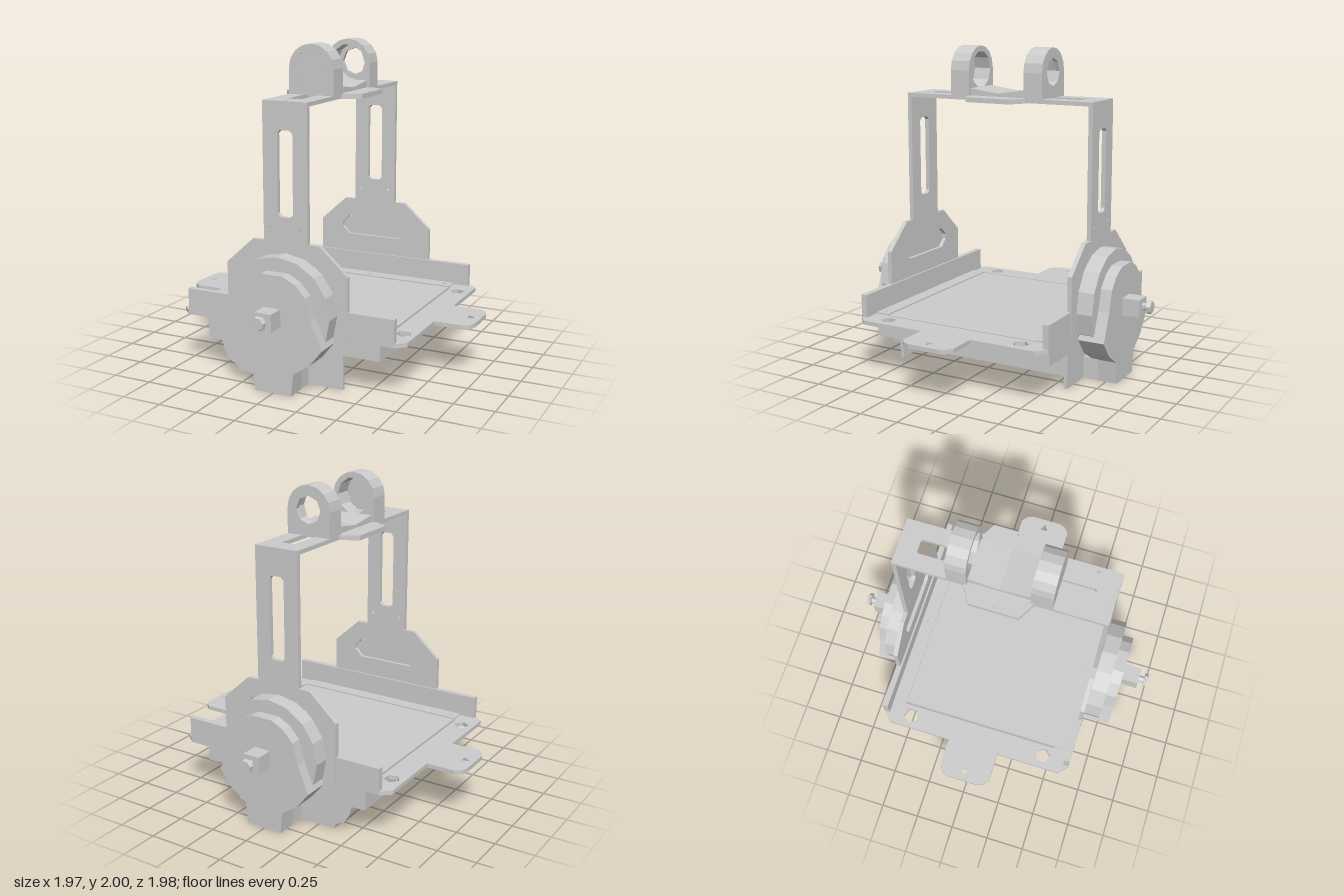
import * as THREE from 'three';

const material = new THREE.MeshStandardMaterial({ color: 0xcccccc, flatShading: true });

function add(parent, name, geometry, x = 0, y = 0, z = 0) {
  const mesh = new THREE.Mesh(geometry, material);
  mesh.name = name;
  mesh.position.set(x, y, z);
  parent.add(mesh);
  return mesh;
}

// Box given by its lower and upper limits
function block(parent, name, x0, x1, y0, y1, z0, z1) {
  return add(parent, name, new THREE.BoxGeometry(x1 - x0, y1 - y0, z1 - z0),
    (x0 + x1) / 2, (y0 + y1) / 2, (z0 + z1) / 2);
}

const toPoints = list => list.map(([x, y]) => new THREE.Vector2(x, y));
// Mirror a half outline (listed from bottom to top at +x) across x = 0
const mirrored = half => [...half, ...half.slice().reverse().map(([x, y]) => [-x, y])];

const ngon = (x, y, r, n = 6, turn = 0) => Array.from({ length: n }, (_, i) => {
  const a = turn + i * 2 * Math.PI / n;
  return [x + r * Math.cos(a), y + r * Math.sin(a)];
});

// Slot with chamfered corners
function slot(x0, x1, y0, y1, c = 0.02) {
  return [[x0 + c, y0], [x1 - c, y0], [x1, y0 + c], [x1, y1 - c],
    [x1 - c, y1], [x0 + c, y1], [x0, y1 - c], [x0, y0 + c]];
}

function extrude(outline, holes, depth) {
  const shape = new THREE.Shape(toPoints(outline));
  shape.holes = holes.map(h => new THREE.Path(toPoints(h)));
  return new THREE.ExtrudeGeometry(shape, { depth, bevelEnabled: false });
}

// Upright slab: outline in x,y between two z values
const slab = (parent, name, outline, holes, z0, z1) =>
  add(parent, name, extrude(outline, holes, z1 - z0), 0, 0, z0);

// Lying plate: outline in x,z between two y values
const plate = (parent, name, outline, holes, y0, y1) =>
  add(parent, name, extrude(outline, holes, y1 - y0).rotateX(Math.PI / 2), 0, y1, 0);

// Bracket leg, rail, drum and shaft of one end, facing +z
function createEnd() {
  const end = new THREE.Group();

  slab(end, 'bracketLeg',
    mirrored([[0.4, 0.33], [0.4, 0.71], [0.22, 0.872], [0.145, 0.872], [0.145, 1.695]]),
    [slot(-0.05, 0.05, 1.02, 1.53), slot(-0.24, 0.24, 0.62, 0.75, 0.05),
      ngon(0.1, 0.955, 0.011, 3), ngon(-0.1, 0.955, 0.011, 3)],
    0.62, 0.648);
  block(end, 'sideRail', -0.69, 0.69, 0.335, 0.5, 0.608, 0.645);

  // Wide drum with a narrower lobed cover and foot
  const drum = new THREE.CylinderGeometry(0.335, 0.335, 0.105, 16).rotateX(Math.PI / 2);
  add(end, 'motorDrum', drum, 0, 0.473, 0.697);
  slab(end, 'drumCover',
    mirrored([[0.12, 0.002], [0.135, 0.14], [0.24, 0.21], [0.32, 0.31], [0.25, 0.48],
      [0.215, 0.61], [0.15, 0.68], [0.07, 0.72]]),
    [], 0.7, 0.82);
  slab(end, 'drumLobe',
    mirrored([[0.13, 0.14], [0.24, 0.21], [0.32, 0.31], [0.25, 0.48]]),
    [], 0.655, 0.71);
  block(end, 'drumFoot', -0.12, 0.12, 0.002, 0.137, 0.58, 0.71);

  // Square shaft with a headed screw
  block(end, 'squareShaft', -0.055, 0.055, 0.417, 0.523, 0.81, 0.93);
  add(end, 'screw', new THREE.CylinderGeometry(0.022, 0.022, 0.05, 6).rotateX(Math.PI / 2), 0, 0.475, 0.95);
  add(end, 'screwHead', new THREE.CylinderGeometry(0.038, 0.045, 0.024, 7).rotateX(Math.PI / 2), 0, 0.475, 0.978);
  return end;
}

export function createModel() {
  const model = new THREE.Group();
  model.name = 'gimbalFrame';

  // Base plate with side tabs, corner holes and long slits
  const halfPlate = [[0.69, -0.643], [0.75, -0.59], [0.75, -0.17], [0.93, -0.17], [0.97, -0.14],
    [0.985, -0.1], [0.985, 0.1], [0.97, 0.14], [0.93, 0.17], [0.75, 0.17], [0.75, 0.59], [0.69, 0.643]];
  const plateHoles = [];
  for (const s of [-1, 1]) {
    plateHoles.push(ngon(s * 0.92, 0, 0.03, 3, s > 0 ? 0 : Math.PI));
    plateHoles.push(slot(s * 0.594 - 0.007, s * 0.594 + 0.007, -0.52, 0.52, 0.002));
    for (const t of [-1, 1]) plateHoles.push(ngon(s * 0.67, t * 0.46, 0.05, 5, 0.4 + t));
  }
  plate(model, 'basePlate', mirrored(halfPlate), plateHoles, 0.332, 0.358);

  // Raised strips along the plate's two ends, with screw holes
  for (const s of [-1, 1]) {
    const z0 = s > 0 ? 0.52 : -0.61;
    plate(model, 'plateStrip', [[-0.59, z0], [0.59, z0], [0.59, z0 + 0.09], [-0.59, z0 + 0.09]],
      [-0.54, 0, 0.54].map(x => ngon(x, s * 0.565, 0.014, 3)), 0.35, 0.366);
  }

  // Body beneath the plate: thin stepped end plates with a narrower core between them
  const leftEdge = [[-0.58, 0.34], [-0.572, 0.185], [-0.48, 0.18], [-0.465, 0.12],
    [-0.43, 0.065], [-0.37, 0.035], [-0.36, 0.003]];
  const endOutline = [...leftEdge, [0.348, 0.003], [0.348, 0.217], [0.585, 0.217], [0.585, 0.34]];
  const coreOutline = [...leftEdge, [0.16, 0.003], [0.16, 0.217], [0.585, 0.217], [0.585, 0.34]];
  slab(model, 'bodyEndPlate', endOutline, [], 0.577, 0.6);
  slab(model, 'bodyEndPlate', endOutline, [], -0.6, -0.577);
  slab(model, 'bodyCore', coreOutline, [], -0.577, 0.577);

  // Both ends are alike
  for (const [name, turn] of [['frontEnd', 0], ['backEnd', Math.PI]]) {
    const end = createEnd();
    end.name = name;
    end.rotation.y = turn;
    model.add(end);
  }

  // Top beam with two slots, and the flared mounting plate
  const beamHoles = [slot(-0.045, 0.045, 0.25, 0.525, 0.008), slot(-0.045, 0.045, -0.525, -0.25, 0.008),
    ngon(0, 0, 0.045)];
  for (const s of [-1, 1]) {
    for (const x of [-0.075, 0, 0.075]) beamHoles.push(ngon(x, s * 0.625, 0.009, 3));
  }
  plate(model, 'topBeam', mirrored([[0.147, -0.646], [0.147, 0.646]]), beamHoles, 1.672, 1.697);
  plate(model, 'mountPlate',
    mirrored([[0.15, -0.21], [0.255, -0.15], [0.255, 0.15], [0.15, 0.21]]),
    [ngon(0.235, 0, 0.008, 3), ngon(-0.235, 0, 0.008, 3), ngon(0, 0, 0.045)], 1.67, 1.699);

  // Shallow V-shaped cradle floor
  const cradle = extrude([[-0.2, 1.695], [0.2, 1.695], [0.2, 1.745], [0, 1.718], [-0.2, 1.745]], [], 0.26);
  add(model, 'cradleFloor', cradle.rotateY(Math.PI / 2), -0.13, 0, 0);

  // Arched housings: a closed cup in front, an open ring behind
  const arch = [[-0.148, 1.695], [0.148, 1.695]];
  for (let i = 0; i <= 8; i++) {
    const a = i * Math.PI / 8;
    arch.push([0.148 * Math.cos(a), 1.852 + 0.148 * Math.sin(a)]);
  }
  const bore = ngon(0, 1.852, 0.115, 10);
  const screwHoles = ngon(0, 1.85, 0.105, 10, 0.3).map(([x, y]) => ngon(x, y, 0.006, 4));
  slab(model, 'frontHousing', arch, [bore], 0.19, 0.302);
  slab(model, 'frontHousingCap', arch, screwHoles, 0.302, 0.32);
  slab(model, 'backHousing', arch, [bore], -0.292, -0.19);
  slab(model, 'backHousingRim', arch, [ngon(0, 1.852, 0.085, 8)], -0.315, -0.292);

  return model;
}
